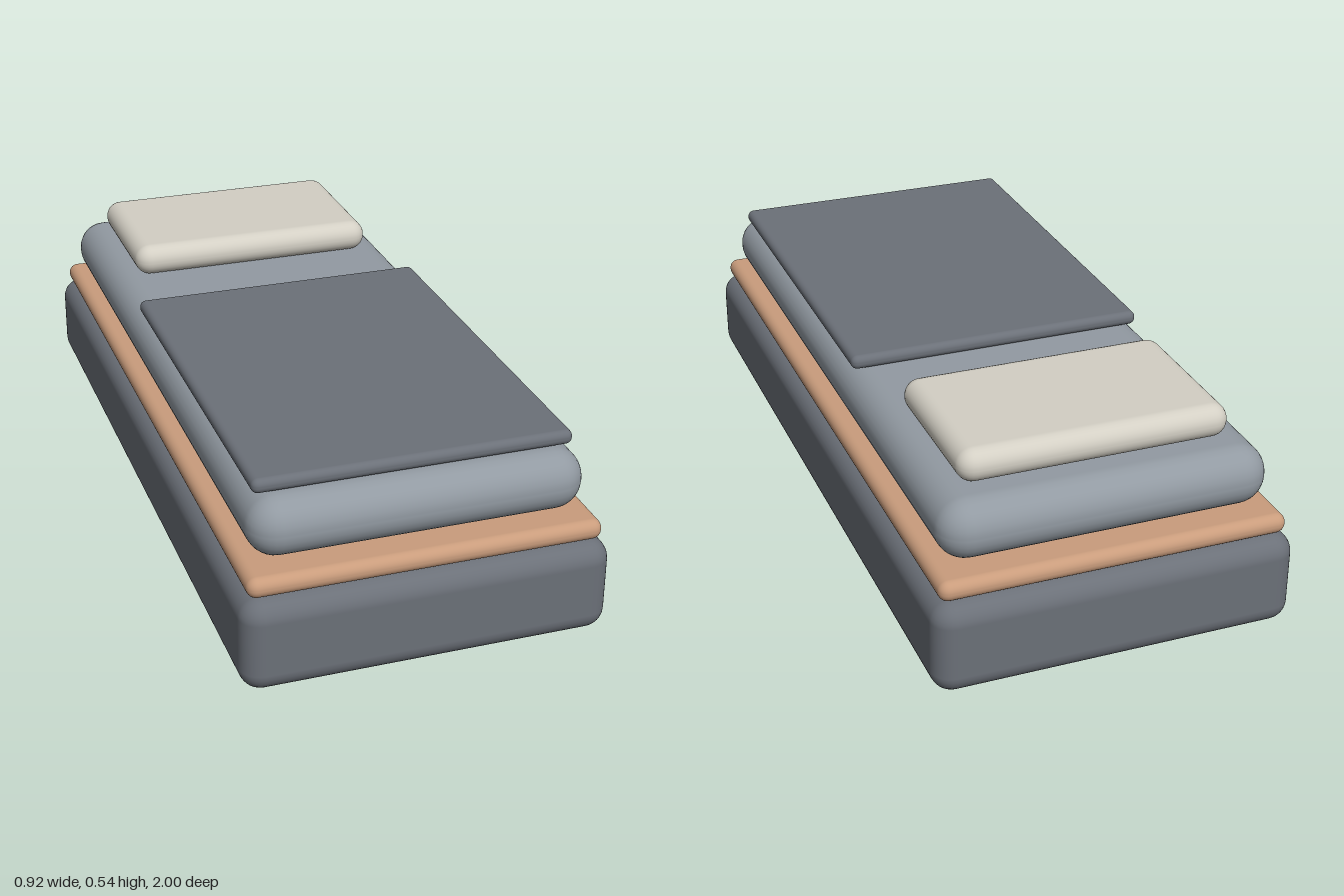
import * as THREE from 'three';
import { RoundedBoxGeometry } from 'three/addons/geometries/RoundedBoxGeometry.js';

function flat(name, color) {
  const material = new THREE.MeshStandardMaterial({ color });
  material.name = name;
  return material;
}

export function createModel() {
  const slate = flat('slate', 0x6b7078);
  const wood = flat('wood', 0xc99c7c);
  const greyBlue = flat('grey blue', 0x929aa2);
  const cream = flat('cream', 0xd3cfc4);

  const bed = new THREE.Group();
  bed.name = 'bed';

  // Soft-edged slab, centred on x, given by half width, y range, z range and edge radius
  function slab(name, material, halfWidth, [y0, y1], [z0, z1], radius) {
    const geometry = new RoundedBoxGeometry(2 * halfWidth, y1 - y0, z1 - z0, 4, radius);
    const mesh = new THREE.Mesh(geometry, material);
    mesh.name = name;
    mesh.position.set(0, (y0 + y1) / 2, (z0 + z1) / 2);
    bed.add(mesh);
  }

  // Stacked from the floor up
  slab('base', slate, 0.458, [0, 0.241], [-1, 1], 0.053);
  slab('woodenFrame', wood, 0.438, [0.241, 0.293], [-0.975, 0.975], 0.025);
  slab('mattress', greyBlue, 0.415, [0.297, 0.451], [-0.938, 0.938], 0.074);
  slab('blanket', slate, 0.395, [0.451, 0.488], [-0.195, 0.87], 0.017);
  slab('pillow', cream, 0.342, [0.451, 0.537], [-0.845, -0.413], 0.042);

  return bed;
}
